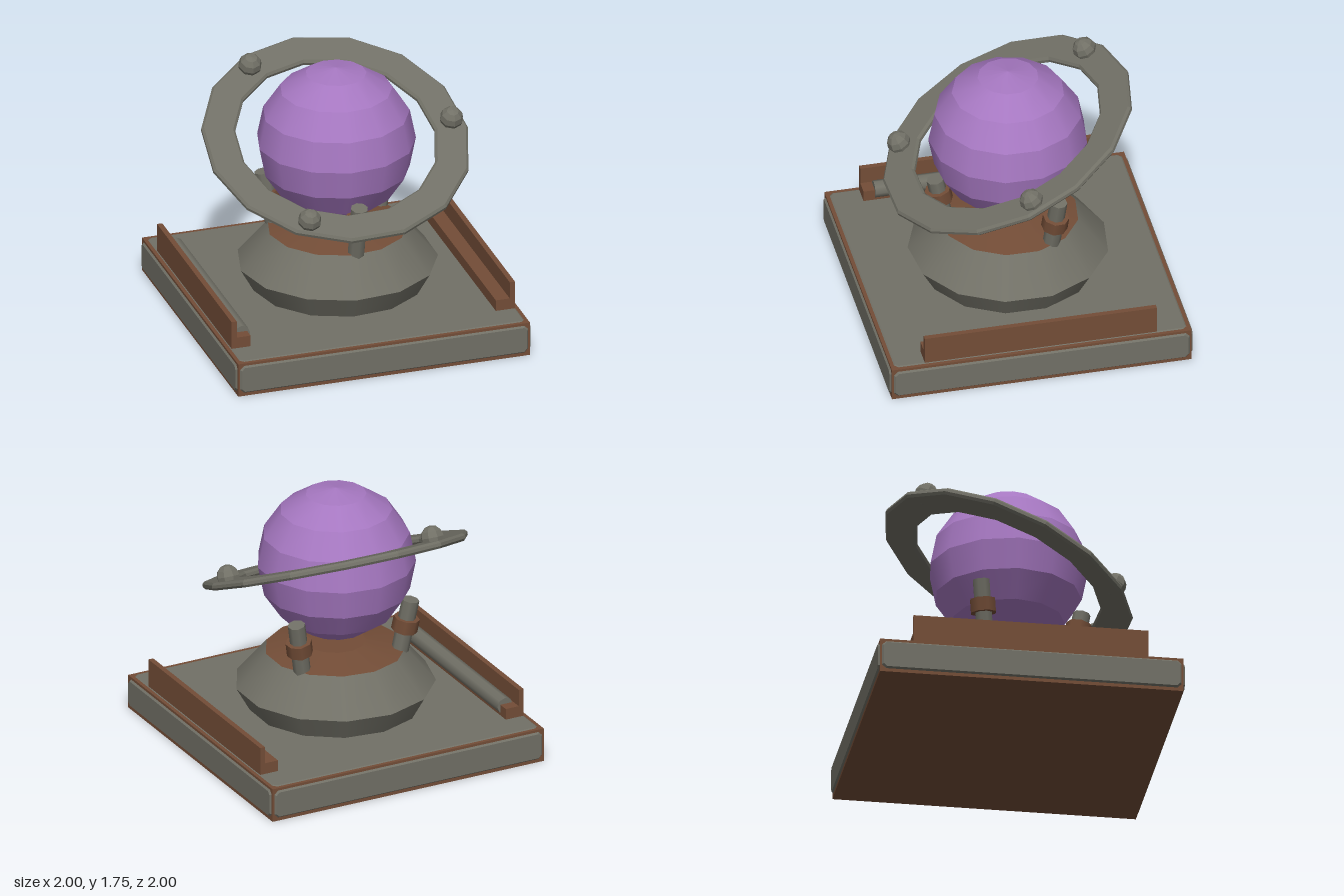
import * as THREE from 'three';

const mat = (name, color) => {
  const m = new THREE.MeshStandardMaterial({ color });
  m.name = name;
  return m;
};

export function createModel() {
  const model = new THREE.Group();
  const metal = mat('grey metal', 0x717066);
  const rust = mat('rust brown', 0x734d37);
  const purple = mat('purple', 0xa577c0);
  const deg = THREE.MathUtils.degToRad;

  const add = (name, geo, material, pos = [0, 0, 0], parent = model) => {
    const mesh = new THREE.Mesh(geo, material);
    mesh.name = name;
    mesh.position.set(...pos);
    parent.add(mesh);
    return mesh;
  };
  // faceted copy of a geometry
  const faceted = (geo) => {
    const g = geo.index ? geo.toNonIndexed() : geo;
    g.computeVertexNormals();
    return g;
  };
  // stacked bands with a crisp edge at every ring; profile is [radius, y] going up
  const bands = (name, profile, sides, start, material, pos) => {
    const group = new THREE.Group();
    group.name = name;
    group.position.set(...pos);
    for (let i = 0; i < profile.length - 1; i++) {
      const [r0, y0] = profile[i], [r1, y1] = profile[i + 1];
      const geo = new THREE.CylinderGeometry(r1, r0, y1 - y0, sides, 1, true, start);
      add(name + 'Band', geo, material, [0, (y0 + y1) / 2, 0], group);
    }
    model.add(group);
  };
  // chamfered plate facing +z, its front at the given distance
  const plate = (w, h, front, bevel) => {
    const x = w / 2, y = h / 2, c = 0.02;
    const shape = new THREE.Shape([
      [-x + c, -y], [x - c, -y], [x, -y + c], [x, y - c],
      [x - c, y], [-x + c, y], [-x, y - c], [-x, -y + c],
    ].map(([a, b]) => new THREE.Vector2(a, b)));
    const geo = new THREE.ExtrudeGeometry(shape, {
      depth: 0.002, bevelEnabled: true, bevelThickness: bevel, bevelSize: 0.012, bevelSegments: 1,
    });
    return geo.translate(0, 0, front - 0.002 - bevel);
  };

  // square base: brown core with grey plates on the sides and top
  add('baseCore', new THREE.BoxGeometry(1.976, 0.23, 1.976), rust, [0, 0.115, 0]);
  for (let i = 0; i < 4; i++) {
    add('sidePlate', plate(1.93, 0.17, 1, 0.014), metal, [0, 0.118, 0]).rotation.y = i * Math.PI / 2;
  }
  add('topPlate', plate(1.91, 1.91, 0.235, 0.007).rotateX(-Math.PI / 2), metal);

  // L-shaped rails on both sides
  for (const s of [1, -1]) {
    add('railLedge', new THREE.BoxGeometry(0.12, 0.08, 1.53), rust, [s * 0.89, 0.27, 0]);
    add('railWall', new THREE.BoxGeometry(0.035, 0.19, 1.53), rust, [s * 0.942, 0.33, 0]);
  }
  add('railRod', new THREE.CylinderGeometry(0.056, 0.056, 1.38, 8).rotateX(Math.PI / 2), metal, [-0.865, 0.295, 0]);

  // pedestal and its brown cap
  const start = deg(20);
  bands('pedestal', [[0.56, 0.23], [0.65, 0.39], [0.455, 0.62]], 13, start, metal, [0.008, 0, 0]);
  add('pedestalCap', new THREE.CylinderGeometry(0.2, 0.455, 0.05, 13, 1, false, start), rust, [0.008, 0.645, 0]);

  // orb
  const orb = [];
  for (let i = 0; i <= 8; i++) {
    const a = Math.PI * (1 - i / 8);
    orb.push([0.515 * Math.sin(a), 0.515 * Math.cos(a)]);
  }
  bands('orb', orb, 13, start, purple, [0, 1.235, 0]);

  // three posts leaning outwards, each with a collar
  for (let i = 0; i < 3; i++) {
    const turn = new THREE.Group();
    turn.name = 'support';
    turn.rotation.y = i * Math.PI * 2 / 3;
    const lean = new THREE.Group();
    lean.name = 'leaningPost';
    lean.position.set(0, 0.6, 0.41);
    lean.rotation.x = deg(11);
    add('post', new THREE.CylinderGeometry(0.057, 0.057, 0.38, 8), metal, [0, 0.18, 0], lean);
    add('collar', new THREE.CylinderGeometry(0.086, 0.086, 0.09, 8), rust, [0, i ? 0.195 : 0.245, 0], lean);
    turn.add(lean);
    model.add(turn);
  }

  // tilted ring with three studs
  const halo = new THREE.Group();
  halo.name = 'tiltedRing';
  halo.position.y = 1.235;
  halo.rotation.x = deg(24.2);
  const section = [
    [0.67, -0.025], [0.86, -0.025], [0.875, -0.01], [0.875, 0.01],
    [0.86, 0.025], [0.67, 0.025], [0.655, 0.01], [0.655, -0.01], [0.67, -0.025],
  ].map(([r, y]) => new THREE.Vector2(r, y));
  add('ring', faceted(new THREE.LatheGeometry(section, 15, deg(14))), metal, [0, 0, 0], halo);
  for (let i = 0; i < 3; i++) {
    const a = i * Math.PI * 2 / 3;
    add('ringStud', faceted(new THREE.SphereGeometry(0.078, 8, 6)), metal,
      [0.775 * Math.cos(a), 0.05, 0.775 * Math.sin(a)], halo);
  }
  model.add(halo);

  return model;
}
